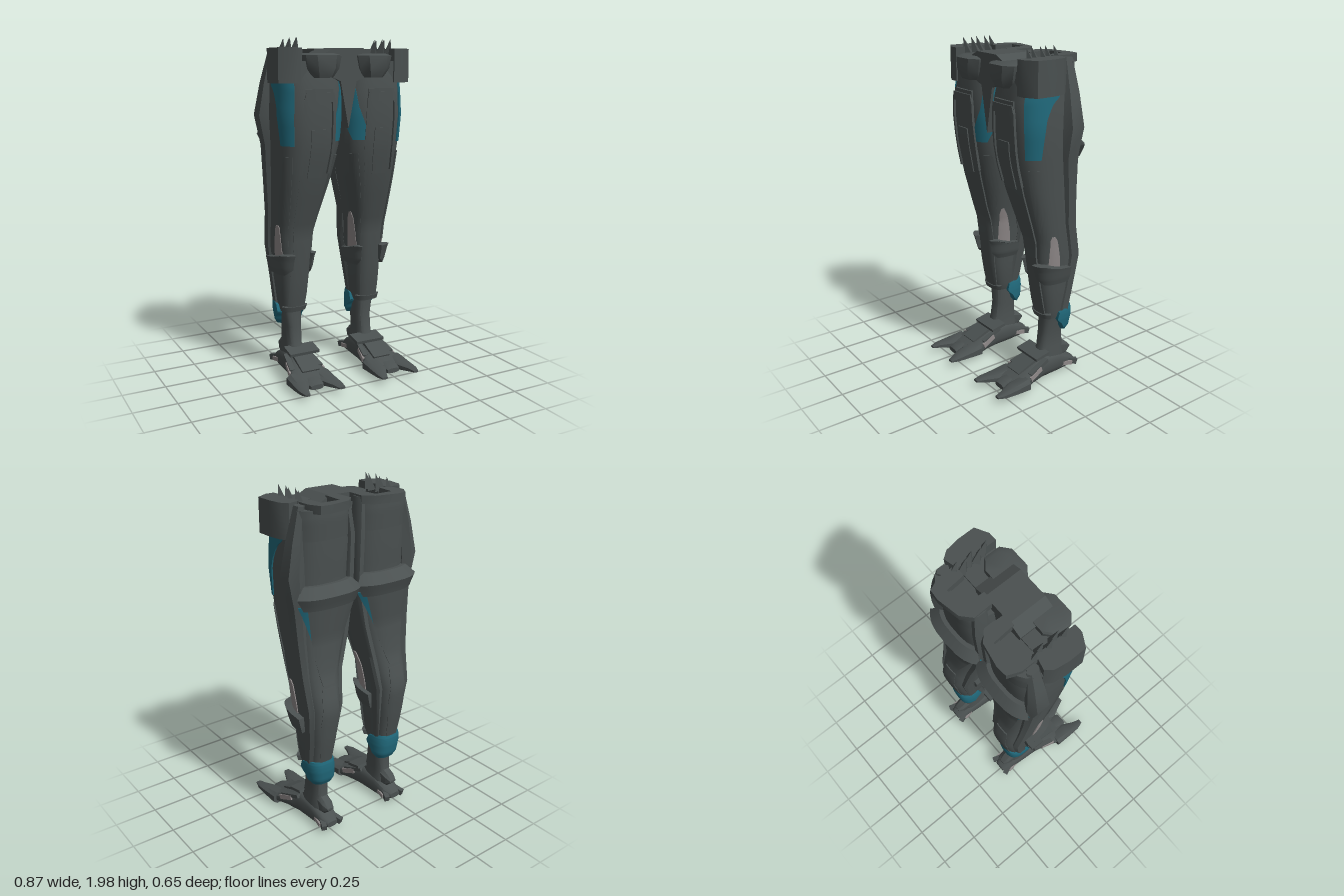
import * as THREE from 'three';
import { toCreasedNormals } from 'three/addons/utils/BufferGeometryUtils.js';

const mat = (name, color) => {
  const m = new THREE.MeshStandardMaterial({ color });
  m.name = name;
  return m;
};
const DEG = Math.PI / 180;
const bend = (v) => Math.sign(v) * Math.abs(v) ** 0.7;

// Point on a rounded-square section [s, x0, x1, b0, b1]; 0 = outer, 90 = back, 180 = inner, 270 = front
function sectionPoint([s, x0, x1, b0, b1], deg, out = 0, axis = 'y') {
  const x = (x0 + x1) / 2 + ((x1 - x0) / 2 + out) * bend(Math.cos(deg * DEG));
  const k = ((b1 - b0) / 2 + out) * bend(Math.sin(deg * DEG));
  return axis === 'y' ? [x, s, (b0 + b1) / 2 - k] : [x, (b0 + b1) / 2 + k, s];
}

// Closed solid through a list of rings
function solid(rings) {
  const n = rings[0].length, pos = rings.flat(2), idx = [];
  for (let j = 0; j < rings.length - 1; j++) {
    for (let i = 0; i < n; i++) {
      const a = j * n + i, b = j * n + (i + 1) % n;
      idx.push(a, b, b + n, a, b + n, a + n);
    }
  }
  [0, rings.length - 1].forEach((j, end) => {
    const c = pos.length / 3;
    for (let k = 0; k < 3; k++) pos.push(rings[j].reduce((sum, p) => sum + p[k], 0) / n);
    for (let i = 0; i < n; i++) {
      const a = j * n + i, b = j * n + (i + 1) % n;
      if (end) idx.push(a, b, c); else idx.push(b, a, c);
    }
  });
  const g = new THREE.BufferGeometry();
  g.setAttribute('position', new THREE.Float32BufferAttribute(pos, 3));
  g.setIndex(idx);
  return g;
}

const loft = (rows, n = 20, axis = 'y') => solid(rows.map((r) =>
  Array.from({ length: n }, (_, i) => sectionPoint(r, (i + 0.5) * 360 / n, 0, axis))));

const mix = (a, b, t) => a.map((v, i) => v + (b[i] - v) * t);
function rowAt(rows, y) {
  let i = 0;
  while (i < rows.length - 2 && y > rows[i + 1][0]) i++;
  return mix(rows[i], rows[i + 1], (y - rows[i][0]) / (rows[i + 1][0] - rows[i][0]));
}

// Armour plate lying on a loft; keys are [height, start angle, end angle, extra thickness]
function skin(rows, keys, out, inner = -0.01, n = 8) {
  const fine = [keys[0]];
  for (let k = 1; k < keys.length; k++) {
    for (let s = 1; s <= 4; s++) fine.push(mix(keys[k - 1], keys[k], s / 4));
  }
  return solid(fine.map(([y, a, b, extra = 0]) => {
    const row = rowAt(rows, y), ring = [];
    for (let i = 0; i <= n; i++) ring.push(sectionPoint(row, a + (b - a) * i / n, out + extra));
    for (let i = n; i >= 0; i--) ring.push(sectionPoint(row, a + (b - a) * i / n, inner));
    return ring;
  }));
}

// Horizontal slab from an [x, z] outline
function slab(points, top, height) {
  const shape = new THREE.Shape(points.map((p) => new THREE.Vector2(...p)));
  return new THREE.ExtrudeGeometry(shape, { depth: height, bevelEnabled: false })
    .rotateX(Math.PI / 2).translate(0, top, 0);
}

function box(x, y, z, w, h, d, rx = 0, ry = 0) {
  return new THREE.BoxGeometry(w, h, d).rotateX(rx).rotateY(ry).translate(x, y, z);
}

// Rows: height, inner x, outer x, back z, front z
const BODY = [
  [0.40, 0.185, 0.315, -0.25, -0.075], [0.45, 0.17, 0.325, -0.255, -0.06],
  [0.6, 0.16, 0.335, -0.285, -0.035], [0.8, 0.14, 0.35, -0.31, -0.01],
  [0.9, 0.13, 0.355, -0.285, 0.0], [1.0, 0.11, 0.36, -0.255, 0.03],
  [1.2, 0.06, 0.37, -0.235, 0.09], [1.4, 0.015, 0.38, -0.22, 0.135],
  [1.57, 0.005, 0.39, -0.225, 0.15], [1.72, 0.005, 0.38, -0.235, 0.15],
  [1.86, 0.025, 0.37, -0.23, 0.12],
];
const OUTER_RAIL = [
  [0.42, 0.29, 0.335, -0.22, -0.15], [0.6, 0.3, 0.345, -0.25, -0.18],
  [0.8, 0.31, 0.365, -0.275, -0.19], [1.0, 0.32, 0.375, -0.235, -0.15],
  [1.2, 0.33, 0.39, -0.22, -0.13], [1.4, 0.33, 0.405, -0.215, -0.105],
  [1.57, 0.33, 0.442, -0.225, -0.095], [1.75, 0.33, 0.405, -0.21, -0.105],
  [1.93, 0.31, 0.355, -0.19, -0.12],
];
const INNER_RAIL = [
  [0.42, 0.17, 0.21, -0.22, -0.15], [0.8, 0.125, 0.18, -0.27, -0.19],
  [1.0, 0.1, 0.15, -0.23, -0.15], [1.2, 0.05, 0.1, -0.22, -0.14],
  [1.45, 0.008, 0.06, -0.21, -0.12], [1.75, 0.008, 0.06, -0.22, -0.12],
  [1.93, 0.03, 0.07, -0.2, -0.12],
];
const ANKLE = [
  [0.04, 0.18, 0.3, -0.24, -0.03], [0.14, 0.185, 0.3, -0.24, -0.04],
  [0.2, 0.195, 0.29, -0.23, -0.065], [0.3, 0.19, 0.29, -0.225, -0.08],
  [0.43, 0.19, 0.31, -0.24, -0.08],
];
// Rows along the foot: z, inner x, outer x, bottom, top
const FOOT = [
  [-0.315, 0.21, 0.28, 0.035, 0.07], [-0.27, 0.185, 0.3, 0.015, 0.1],
  [-0.18, 0.175, 0.31, 0.01, 0.15], [-0.06, 0.165, 0.32, 0.01, 0.165],
  [0.04, 0.145, 0.345, 0.015, 0.125], [0.13, 0.12, 0.38, 0.015, 0.09],
  [0.19, 0.12, 0.385, 0.025, 0.07],
];
const TOES = [
  [[0.1, 0.28, 0.39, 0.015, 0.095], [0.2, 0.29, 0.39, 0.025, 0.078], [0.28, 0.33, 0.387, 0.035, 0.068], [0.325, 0.342, 0.373, 0.045, 0.058]],
  [[0.1, 0.115, 0.23, 0.015, 0.095], [0.2, 0.115, 0.22, 0.025, 0.078], [0.28, 0.115, 0.18, 0.035, 0.068], [0.325, 0.122, 0.16, 0.045, 0.058]],
  [[0.1, 0.19, 0.32, 0.01, 0.09], [0.2, 0.2, 0.31, 0.02, 0.075], [0.235, 0.215, 0.295, 0.03, 0.06]],
];

export function createModel() {
  const dark = mat('dark armour', 0x4a5050);
  const teal = mat('teal panel', 0x20687a);
  const pale = mat('pale grey lining', 0x8f8989);
  const model = new THREE.Group();
  model.name = 'armouredLegs';

  for (const side of [1, -1]) {
    const leg = new THREE.Group();
    leg.name = side > 0 ? 'leftLeg' : 'rightLeg';
    model.add(leg);
    const add = (name, geo, material = dark, crease = 32) => {
      let g = geo.index ? geo.toNonIndexed() : geo;
      g.deleteAttribute('uv');
      g.deleteAttribute('normal');
      if (side < 0) {
        // mirror and restore the corner order
        const p = g.attributes.position.array;
        for (let i = 0; i < p.length; i += 9) {
          for (let k = 0; k < 3; k++) [p[i + 3 + k], p[i + 6 + k]] = [p[i + 6 + k], p[i + 3 + k]];
        }
        for (let i = 0; i < p.length; i += 3) p[i] *= -1;
      }
      g = toCreasedNormals(g, crease * DEG);
      const mesh = new THREE.Mesh(g, material);
      mesh.name = name;
      leg.add(mesh);
    };

    // Leg core and side rails
    add('legBody', loft(BODY, 28));
    add('outerRail', loft(OUTER_RAIL, 6));
    add('innerRail', loft(INNER_RAIL, 8));

    // Long front plate with a raised frame on the thigh
    add('shinPlate', skin(BODY, [[0.42, 235, 300], [0.8, 234, 284], [1.0, 243, 288], [1.4, 250, 290], [1.72, 254, 287]], 0.014));
    add('frameInnerBar', skin(BODY, [[1.25, 246, 252], [1.66, 252, 257]], 0.024));
    add('frameOuterBar', skin(BODY, [[1.25, 285, 291], [1.66, 284, 289]], 0.024));
    add('frameTopBar', skin(BODY, [[1.65, 252, 289], [1.7, 255, 286]], 0.024));
    add('centreStrip', skin(BODY, [[1.23, 261, 277], [1.5, 264, 277]], 0.022));

    // Thigh panels
    add('outerThighPanel', skin(BODY, [[1.41, -53, -19], [1.62, -53, -10], [1.7, -52, -2], [1.76, -51, 5]], 0.006), teal);
    add('innerThighPanel', skin(BODY, [[1.43, 222, 250], [1.5, 208, 252], [1.62, 202, 236], [1.76, 200, 226]], 0.006), teal);

    // Rear thigh band, side-lit wedge and cover plate beneath it, calf plate
    add('rearBand', skin(BODY, [[1.39, 50, 130, 0], [1.46, 42, 138, 0.022], [1.515, 46, 134, -0.03]], 0.052));
    add('rearWedge', skin(BODY, [[1.19, 62, 118, -0.042], [1.41, 40, 140, 0]], 0.046), teal);
    add('rearPlate', skin(BODY, [[0.95, 80, 100, -0.044], [1.1, 66, 114, -0.042], [1.2, 60, 120, -0.037], [1.39, 57, 123, 0]], 0.051));
    add('calfPlate', skin(BODY, [[0.46, 70, 110], [0.7, 62, 118], [0.93, 76, 104]], 0.006));

    // Pale openings and guards beside the shin
    add('outerLining', skin(BODY, [[0.74, -39, -6], [0.86, -31, -8], [0.92, -26, -9], [0.94, -20, -12]], 0.005), pale);
    add('innerLining', skin(BODY, [[0.74, 185, 220], [0.86, 186, 214], [0.94, 188, 208], [0.98, 192, 200]], 0.005), pale);
    add('outerShinGuard', skin(BODY, [[0.645, -50, 4, -0.008], [0.68, -76, 5, 0], [0.74, -78, 4, 0.008], [0.77, -80, -40, 0.014]], 0.03));
    add('innerShinGuard', skin(BODY, [[0.645, 176, 222, -0.01], [0.68, 175, 238, 0], [0.74, 176, 240, 0.004], [0.77, 216, 242, 0.01]], 0.026));
    add('outerKneePlate', skin(BODY, [[0.8, -62, -42], [0.95, -58, -34], [1.1, -55, -18], [1.35, -50, -25]], 0.006));
    add('innerKneePlate', skin(BODY, [[0.8, 224, 234], [1.0, 212, 236], [1.1, 200, 236], [1.35, 212, 234]], 0.006));

    // Ankle with its rear cuff
    add('ankle', loft(ANKLE, 16));
    add('ankleCuff', skin(ANKLE, [[0.3, 30, 150, -0.012], [0.33, 10, 170, 0], [0.4, -7, 187, 0], [0.44, -3, 183, -0.006], [0.46, 10, 170, -0.014]], 0.034, 0, 14), teal, 45);
    add('ankleCollar', skin(BODY, [[0.41, 215, 325], [0.44, 212, 328]], 0.02));

    // Foot, toes, straps and heel spur
    add('foot', loft(FOOT, 16, 'z'));
    TOES.forEach((rows, i) => add(['outerToe', 'innerToe', 'middleToe'][i], loft(rows, 8, 'z')));
    add('ankleStrap', box(0.225, 0.172, -0.04, 0.19, 0.018, 0.1, 0.2));
    add('instepPlate', box(0.24, 0.122, 0.05, 0.11, 0.02, 0.15, 0.4));
    for (const s of [1, -1]) {
      add('footSidePlate', box(0.245 + s * 0.075, 0.118, 0.0, 0.04, 0.022, 0.15, 0.32, s * 0.15));
      add('footLining', box(0.245 + s * 0.095, 0.092, 0.03, 0.02, 0.03, 0.1, 0.35, s * 0.2), pale);
      add('heelLining', box(0.243 + s * 0.06, 0.055, -0.24, 0.012, 0.025, 0.08, -0.15, -s * 0.15), pale);
      add('heelPlate', box(0.243 + s * 0.05, 0.055, -0.285, 0.03, 0.035, 0.07, -0.25, -s * 0.35));
    }
    add('heelSpur', loft([[-0.295, 0.22, 0.265, 0.135, 0.15], [-0.26, 0.205, 0.28, 0.1, 0.185], [-0.2, 0.2, 0.285, 0.08, 0.22]], 8, 'z'));

    // Hip armour around a sunken top
    add('outerHipGuard', slab([[0.29, -0.1], [0.37, -0.12], [0.4, -0.08], [0.412, 0], [0.412, 0.1], [0.34, 0.14], [0.29, 0.14]], 1.94, 0.19));
    add('frontHipPod', loft([[1.78, 0.09, 0.23, 0, 0.165], [1.83, 0.06, 0.26, 0, 0.188], [1.9, 0.045, 0.275, 0, 0.188], [1.912, 0.07, 0.25, 0, 0.15]], 8));
    add('frontHipPlate', slab([[0.16, -0.08], [0.3, -0.08], [0.3, 0.13], [0.17, 0.12]], 1.87, 0.11));
    add('rearHipCollar', slab([[0.04, -0.08], [0.035, -0.2], [0.09, -0.25], [0.22, -0.275], [0.28, -0.27], [0.31, -0.2], [0.31, -0.1], [0.24, -0.1],
      [0.23, -0.21], [0.12, -0.21], [0.11, -0.08]], 1.94, 0.045));
    add('rearHipWall', skin(BODY, [[1.75, 45, 135, -0.01], [1.86, 35, 145, 0], [1.91, 30, 150, 0]], 0.012, -0.015));
    for (let i = 0; i < 5; i++) {
      add('hipSpike', new THREE.ConeGeometry(0.03, 0.1, 4).rotateX(0.35)
        .translate(0.295 - (i % 2) * 0.015, 1.948, 0.07 - i * 0.045));
    }
  }

  // Pelvis wedge between the legs
  const wedge = new THREE.Shape([[-0.17, 1.9], [-0.15, 1.8], [-0.05, 1.76], [0, 1.5], [0.05, 1.76], [0.15, 1.8], [0.17, 1.9], [0.09, 1.94], [-0.09, 1.94]]
    .map((p) => new THREE.Vector2(...p)));
  const pelvis = new THREE.Mesh(new THREE.ExtrudeGeometry(wedge, { depth: 0.22, bevelEnabled: false }).translate(0, 0, -0.09), dark);
  pelvis.name = 'pelvis';
  model.add(pelvis);
  return model;
}
